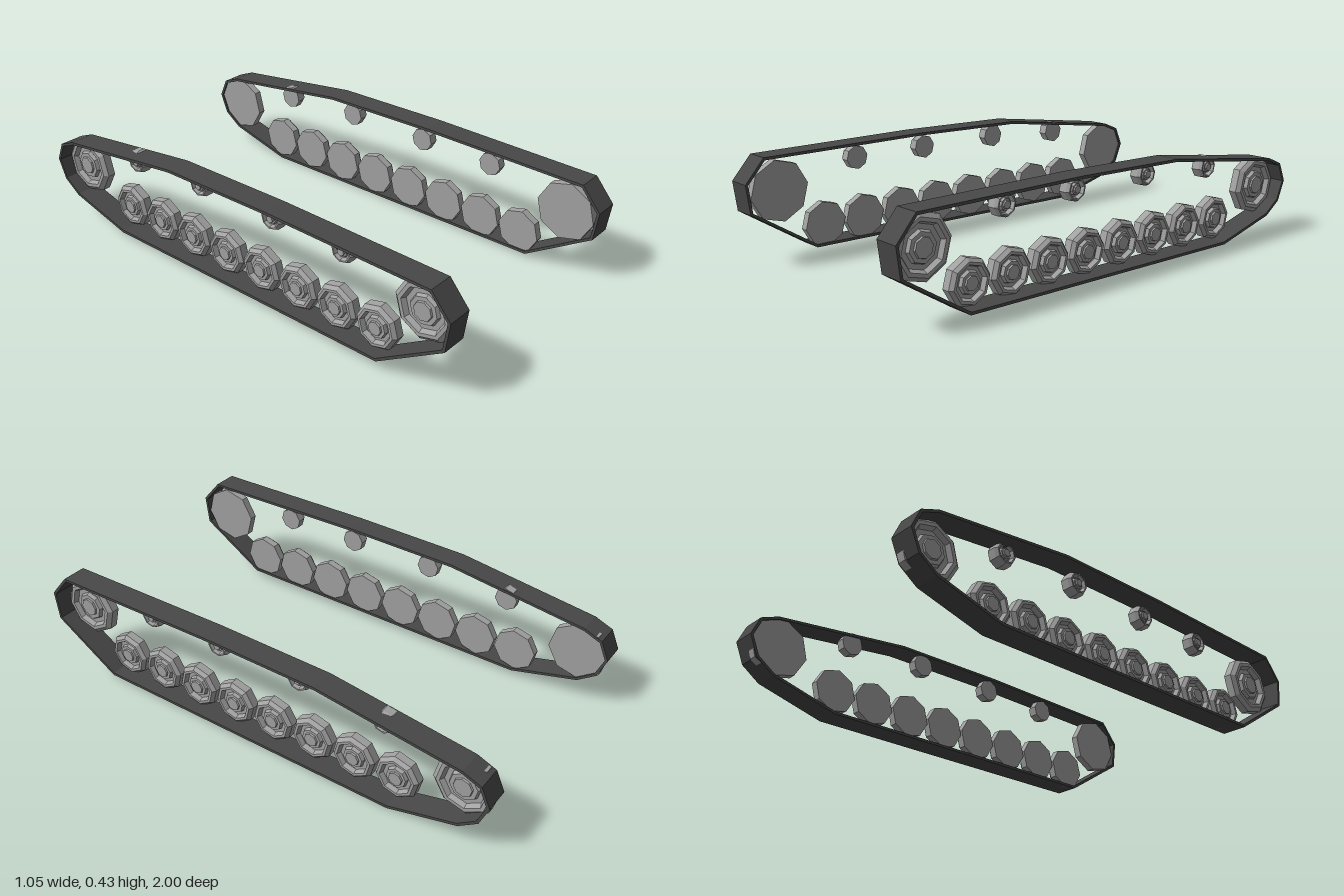
import * as THREE from 'three';

const metal = new THREE.MeshStandardMaterial({ color: 0xa2a2a2, flatShading: true });
const rubber = new THREE.MeshStandardMaterial({ color: 0x484848, flatShading: true });

const BELT_IN = 0.424, BELT_OUT = 0.526, BELT_THICK = 0.011;

// Belt outline as [z, y], running over the top from front to back
const OUTLINE = [
  [0.92, 0.402], [0.2, 0.407], [-0.3, 0.397], [-0.89, 0.318], [-0.965, 0.287], [-1, 0.208],
  [-0.965, 0.125], [-0.89, 0.072], [-0.61, 0], [0.71, 0.016], [0.985, 0.191], [1, 0.309],
].map(([z, y]) => new THREE.Vector2(-z, y));

// Move each corner of a clockwise loop inward along its mitre
function inset(loop, d) {
  const n = loop.length;
  return loop.map((p, i) => {
    const a = p.clone().sub(loop[(i + n - 1) % n]).normalize();
    const b = loop[(i + 1) % n].clone().sub(p).normalize();
    const na = new THREE.Vector2(a.y, -a.x), nb = new THREE.Vector2(b.y, -b.x);
    const m = na.clone().add(nb).normalize();
    return p.clone().addScaledVector(m, d / m.dot(na));
  });
}

// Outline runs counter-clockwise and the hole clockwise, so both walls face outward
function beltGeometry() {
  const shape = new THREE.Shape([...OUTLINE].reverse());
  shape.holes.push(new THREE.Path(inset(OUTLINE, BELT_THICK)));
  const geo = new THREE.ExtrudeGeometry(shape, { depth: BELT_OUT - BELT_IN, bevelEnabled: false });
  return geo.rotateY(Math.PI / 2);
}

// Eight-sided wheel: flat back, chamfered rim, recessed dish and raised hub
function wheelGeometry(r, w) {
  const profile = [
    [0, 0], [1, 0], [1, 0.7], [0.86, 1], [0.74, 1], [0.66, 0.6],
    [0.5, 0.6], [0.45, 0.9], [0.32, 0.9], [0.3, 1.05], [0, 1.05],
  ].map(([x, y]) => new THREE.Vector2(x * r, y * w));
  return new THREE.LatheGeometry(profile, 8);
}

function createTrack(side, lift) {
  const track = new THREE.Group();
  track.name = side > 0 ? 'leftTrack' : 'rightTrack';
  track.position.y = lift;

  const belt = new THREE.Mesh(beltGeometry(), rubber);
  belt.name = 'belt';
  belt.position.x = side > 0 ? BELT_IN : -BELT_OUT;
  track.add(belt);

  const addWheel = (name, geo, z, y) => {
    const wheel = new THREE.Mesh(geo, metal);
    wheel.name = name;
    wheel.position.set(side * 0.43, y, z);
    wheel.rotation.set(0.13, 0, -side * Math.PI / 2);
    track.add(wheel);
  };

  // Large end wheels
  const big = wheelGeometry(0.122, 0.046);
  addWheel('frontWheel', big, 0.857, 0.264);
  addWheel('rearWheel', big, -0.873, 0.199);

  // Row of road wheels on the ground run
  const road = wheelGeometry(0.09, 0.046);
  for (let i = 0; i < 8; i++) addWheel('roadWheel', road, 0.664 - i * 0.182, 0.103 - i * 0.0005);

  // Small rollers carrying the upper run
  const roller = wheelGeometry(0.048, 0.046);
  [[0.51, 0.346], [0.18, 0.346], [-0.19, 0.346], [-0.55, 0.322]]
    .forEach(([z, y]) => addWheel('returnRoller', roller, z, y));

  return track;
}

export function createModel() {
  const model = new THREE.Group();
  model.name = 'trackPair';
  model.add(createTrack(1, 0), createTrack(-1, 0.022));
  return model;
}
